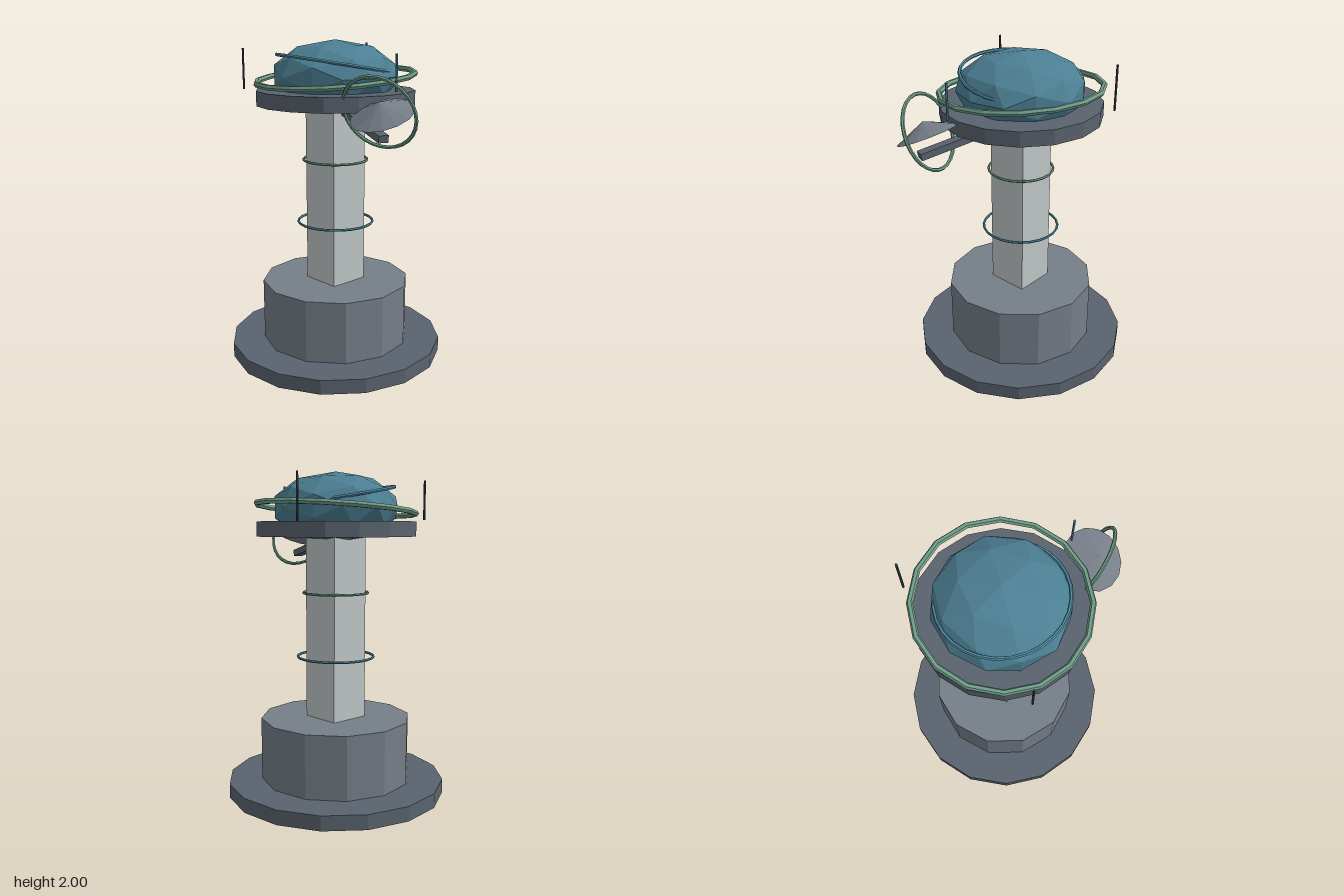
import * as THREE from 'three';

const material = (color) => new THREE.MeshStandardMaterial({ color, flatShading: true });

export function createModel() {
  const model = new THREE.Group();
  // Everything but the dish is built around the tower axis.
  const tower = new THREE.Group();
  tower.name = 'tower';
  tower.position.x = -0.06;
  model.add(tower);

  const slate = material(0x5a636e);
  const steel = material(0x767e88);
  const pale = material(0xc0c6c6);
  const blue = material(0x4c7f93);
  const teal = material(0x4f8ca3);
  const green = material(0x6f9c88);
  const dark = material(0x3c444c);

  function add(name, geometry, mat, position, rotation = [0, 0, 0], parent = tower) {
    const mesh = new THREE.Mesh(geometry, mat);
    mesh.name = name;
    mesh.position.set(...position);
    mesh.rotation.set(...rotation);
    parent.add(mesh);
    return mesh;
  }

  function disc(name, radius, bottom, top, sides, mat) {
    const geometry = new THREE.CylinderGeometry(radius, radius, top - bottom, sides);
    return add(name, geometry, mat, [0, (bottom + top) / 2, 0]);
  }

  function ring(name, radius, tube, segments, mat, y, tiltX = 0, tiltZ = 0) {
    const geometry = new THREE.TorusGeometry(radius, tube, 6, segments).rotateX(Math.PI / 2);
    return add(name, geometry, mat, [0, y, 0], [tiltX, 0, tiltZ]);
  }

  // Foot, drum and square column
  disc('basePlate', 0.68, 0, 0.09, 16, slate);
  disc('baseDrum', 0.47, 0.09, 0.48, 12, steel);
  add('column', new THREE.BoxGeometry(0.26, 1.13, 0.26), pale, [0, 1.045, 0], [0, 0.077, 0]);

  // Thin rings floating around the column
  ring('lowerColumnRing', 0.237, 0.008, 24, teal, 0.865);
  ring('upperColumnRing', 0.2, 0.008, 24, green, 1.265);

  // Platform and faceted dome
  disc('platform', 0.49, 1.61, 1.7, 16, slate);
  const dome = new THREE.IcosahedronGeometry(0.39, 1).scale(1, 0.55, 1);
  add('dome', dome, blue, [0, 1.785, 0]);

  // Tilted rings around the dome
  ring('platformRing', 0.487, 0.018, 16, green, 1.775, 0.08);
  ring('domeRing', 0.36, 0.011, 28, teal, 1.855, -0.16, -0.04);

  // Three antennas, evenly spaced round the platform
  [0.21, 0.24, 0.27].forEach((height, i) => {
    const angle = (i * Math.PI * 2) / 3;
    add('antenna', new THREE.CylinderGeometry(0.007, 0.007, height, 6), i ? dark : teal,
      [0.555 * Math.cos(angle), 1.83, 0.555 * Math.sin(angle)]);
  });

  // Sloping arm that reaches out under the dish
  const start = new THREE.Vector3(0.02, 1.59, 0.01);
  const end = new THREE.Vector3(0.58, 1.487, 0.163);
  const arm = add('dishArm', new THREE.BoxGeometry(0.06, 0.042, start.distanceTo(end)), slate,
    start.clone().add(end).multiplyScalar(0.5).toArray(), [0, 0, 0], model);
  arm.lookAt(end);

  // Shallow dish with its encircling ring
  const tilt = [0.44, 0.35, -0.1];
  add('dish', new THREE.ConeGeometry(0.186, 0.08, 14).translate(0, 0.04, 0), steel,
    [0.535, 1.612, 0.135], tilt, model);
  add('dishRing', new THREE.TorusGeometry(0.22, 0.011, 6, 28), green,
    [0.518, 1.6225, 0.145], tilt, model);

  return model;
}
